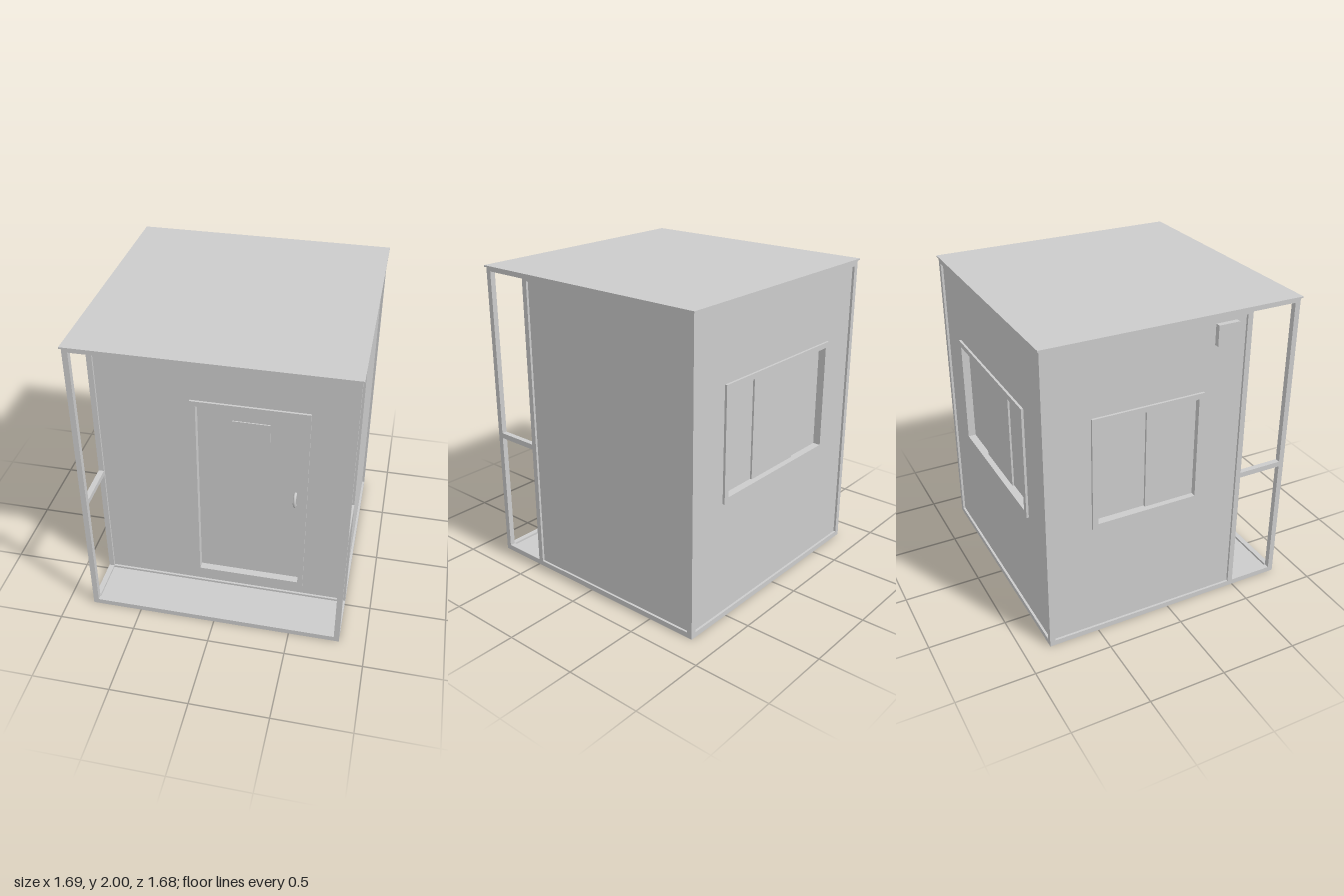
import * as THREE from 'three';

const H = 2, S = 0.83, B = 0.035;      // height, half width, beam size
const WALL_Z = 0.5;                    // front wall of the room; the porch lies ahead of it
const RECESS = -0.015, TRIM = 0, PANE = -0.05;

const material = new THREE.MeshStandardMaterial({ color: 0xcccccc });
const sheetMaterial = new THREE.MeshStandardMaterial({ color: 0xcccccc, side: THREE.DoubleSide });

function box(parent, name, [x0, x1], [y0, y1], [z0, z1]) {
  const mesh = new THREE.Mesh(new THREE.BoxGeometry(x1 - x0, y1 - y0, z1 - z0), material);
  mesh.position.set((x0 + x1) / 2, (y0 + y1) / 2, (z0 + z1) / 2);
  mesh.name = name;
  parent.add(mesh);
  return mesh;
}

// Rectangle [u0, u1, v0, v1] grown by g, as four corners at depth d
function loop([u0, u1, v0, v1], g, d) {
  return [[u0 - g, v0 - g, d], [u1 + g, v0 - g, d], [u1 + g, v1 + g, d], [u0 - g, v1 + g, d]];
}

// Pressed sheet: nested rectangular loops joined by quads, the last one filled
function reliefGeometry(loops) {
  const points = [];
  const quad = (a, b, c, d) => points.push(...a, ...b, ...c, ...a, ...c, ...d);
  for (let k = 0; k + 1 < loops.length; k++) {
    for (let i = 0; i < 4; i++) {
      const j = (i + 1) % 4;
      quad(loops[k][i], loops[k][j], loops[k + 1][j], loops[k + 1][i]);
    }
  }
  quad(...loops[loops.length - 1]);
  const geometry = new THREE.BufferGeometry();
  geometry.setAttribute('position', new THREE.Float32BufferAttribute(points, 3));
  geometry.computeVertexNormals();
  return geometry;
}

// Wall with a raised border and, if given, a trimmed and recessed opening
function wall(parent, name, u0, u1, turn, x, z, opening) {
  const rect = [u0, u1, 0, H - 0.01];
  const loops = [loop(rect, 0, 0), loop(rect, -B, 0), loop(rect, -B, RECESS)];
  if (opening) {
    loops.push(loop(opening, B, RECESS), loop(opening, B, TRIM), loop(opening, 0, TRIM), loop(opening, 0, PANE));
  }
  const group = new THREE.Group();
  group.name = name;
  const sheet = new THREE.Mesh(reliefGeometry(loops), sheetMaterial);
  sheet.name = name + 'Panel';
  group.add(sheet);
  group.rotation.y = turn;
  group.position.set(x, 0, z);
  parent.add(group);
  return group;
}

export function createModel() {
  const model = new THREE.Group();
  model.name = 'cabin';

  // Roof
  box(model, 'roof', [-0.84, 0.84], [H - 0.01, H], [-0.84, 0.84]);

  // Room walls
  wall(model, 'rightWall', -WALL_Z, S, Math.PI / 2, S, 0);
  const side = wall(model, 'leftWall', -S, WALL_Z, -Math.PI / 2, -S, 0, [-0.495, 0.165, 0.81, 1.48]);
  const back = wall(model, 'backWall', -S, S, Math.PI, 0, -S, [-0.5, 0.5, 0.81, 1.48]);
  const front = wall(model, 'frontWall', -S, S, 0, 0, WALL_Z, [-0.17, 0.5, 0.14, 1.475]);

  // Sliding window sashes
  box(side, 'sideSash', [-0.165, 0.165], [0.81, 1.48], [PANE, PANE + 0.015]);
  box(back, 'backSash', [-0.216, 0.216], [0.81, 1.48], [PANE, PANE + 0.012]);

  // Door plate and handle
  box(front, 'doorPlate', [0.05, 0.285], [1.24, 1.37], [PANE, PANE + 0.008]);
  const grip = new THREE.CatmullRomCurve3([
    [0.77, PANE], [0.785, PANE + 0.028], [0.82, PANE + 0.04], [0.855, PANE + 0.028], [0.87, PANE],
  ].map(([y, z]) => new THREE.Vector3(0.455, y, z)));
  const handle = new THREE.Mesh(new THREE.TubeGeometry(grip, 20, 0.01, 10), material);
  handle.name = 'doorHandle';
  front.add(handle);

  // Vent box high on the left wall
  box(model, 'ventBox', [-0.847, -0.81], [1.8, 1.93], [0.26, 0.4]);

  // Porch frame
  const porch = new THREE.Group();
  porch.name = 'porch';
  model.add(porch);
  const inner = S - B, top = H - 0.01;
  for (const [name, x] of [['left', [inner, S]], ['right', [-S, -inner]]]) {
    box(porch, name + 'Post', x, [0, top], [inner, S]);
    box(porch, name + 'WallPost', x, [0, top], [WALL_Z - B, WALL_Z - 0.001]);
    box(porch, name + 'BottomBeam', x, [0, B], [WALL_Z, inner]);
    box(porch, name + 'Rail', x, [0.845, 0.88], [WALL_Z, inner]);
    box(porch, name + 'TopBeam', x, [H - B, top], [WALL_Z, inner]);
  }
  box(porch, 'frontBottomBeam', [-inner, inner], [0, B], [inner, S]);
  box(porch, 'frontTopBeam', [-inner, inner], [H - B, top], [inner, S]);
  box(porch, 'porchFloor', [-inner, inner], [0.005, 0.02], [WALL_Z - 0.015, inner]);

  return model;
}
